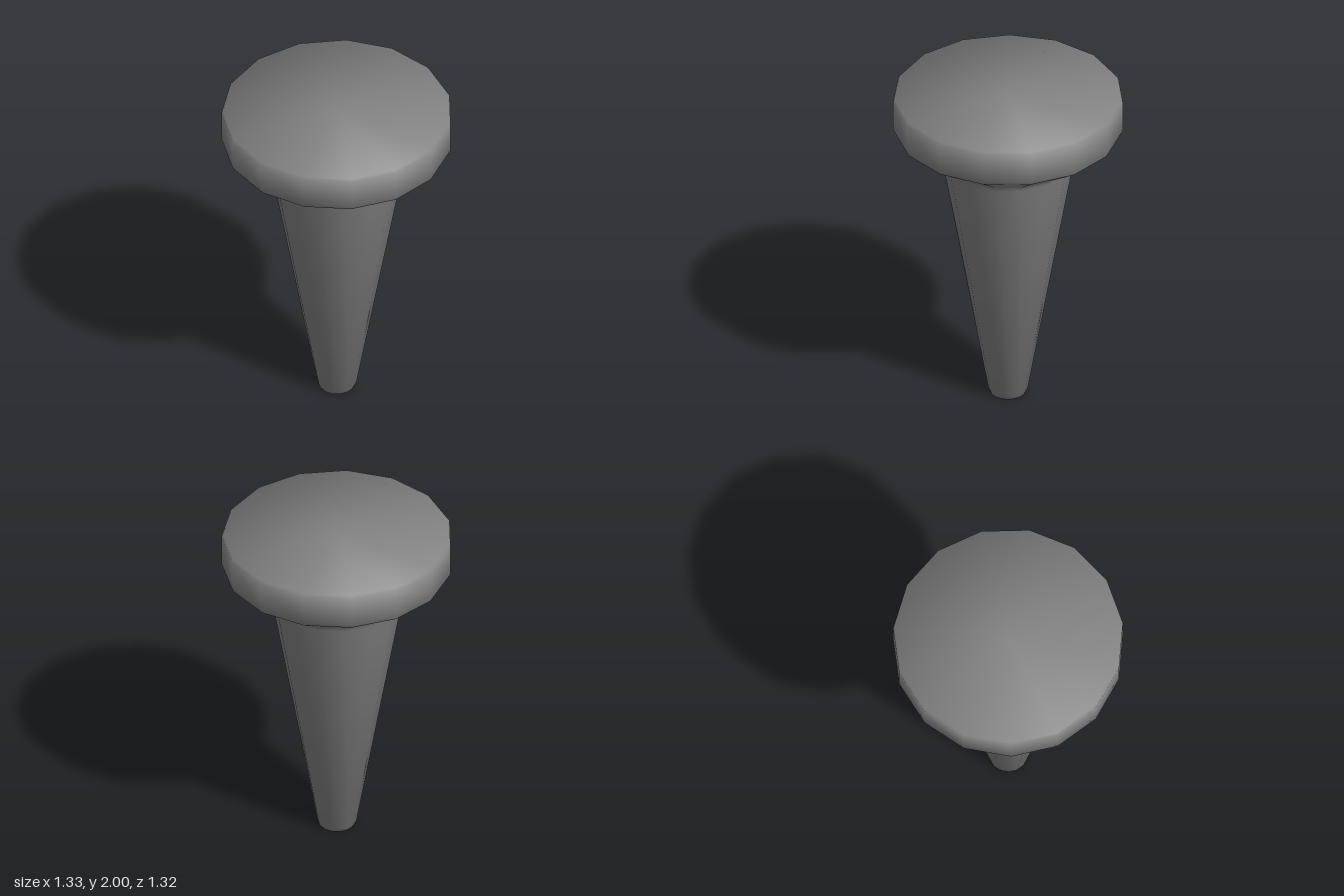
import * as THREE from 'three';

const SIDES = 15;

// Tapered peg and flared head, bottom to top: radius, height, tilt of the soft normal in degrees
const PROFILE = [
  [0, 0, -49], [0.106, 0, -49], [0.115, 0.025, -28],               // foot
  [0.381, 1.57, -14], [0.387, 1.59, -24], [0.402, 1.61, -37],      // neck
  [0.658, 1.782, -34], [0.667, 1.8, -21],                          // flare
  [0.667, 1.988, 32], [0.658, 2, 49], [0, 2, 49],                  // rim and top
];

// Blend the normals across the bevels and caps so the whole body shades softly
function softenNormals(geometry) {
  const normal = geometry.attributes.normal;
  for (let i = 0; i <= SIDES; i++) {
    const a = Math.PI + (i / SIDES) * Math.PI * 2;
    PROFILE.forEach(([radius, , tilt], j) => {
      const t = THREE.MathUtils.degToRad(tilt);
      const out = radius > 0 ? Math.cos(t) : 0;
      normal.setXYZ(i * PROFILE.length + j, out * Math.sin(a), Math.sin(t), out * Math.cos(a));
    });
  }
}

export function createModel() {
  const group = new THREE.Group();
  group.name = 'peg';
  // One corner of the polygon points straight back
  const points = PROFILE.map(([r, y]) => new THREE.Vector2(r, y));
  const geometry = new THREE.LatheGeometry(points, SIDES, Math.PI, Math.PI * 2);
  softenNormals(geometry);
  const peg = new THREE.Mesh(geometry, new THREE.MeshStandardMaterial({ color: 0x838383 }));
  peg.name = 'pegBody';
  peg.position.z = 0.007; // centres the odd-sided outline
  group.add(peg);
  return group;
}
